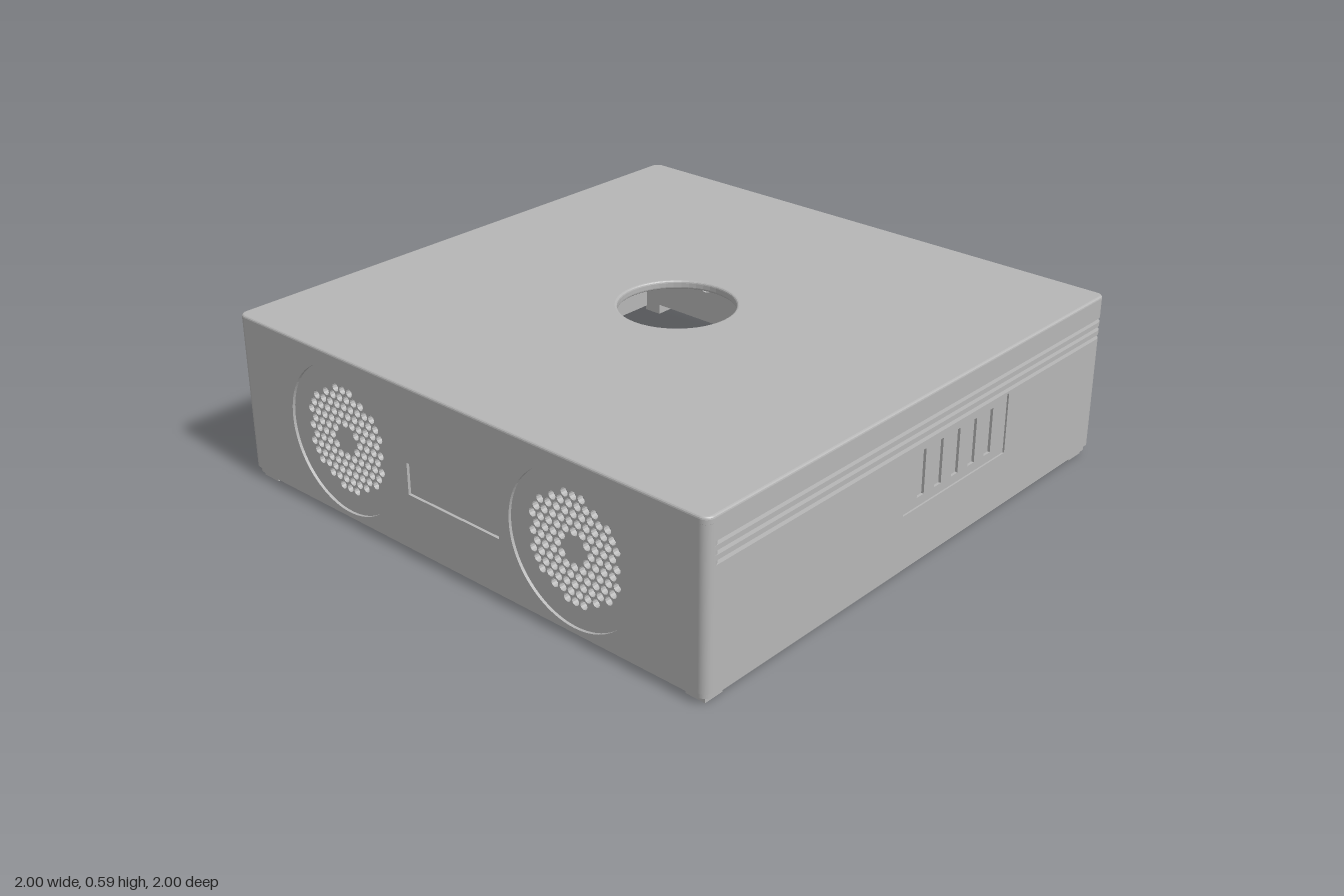
import * as THREE from 'three';

const casing = new THREE.MeshStandardMaterial({ color: 0xb6b6b6 });
casing.name = 'casing grey';

const BASE = 0.04, ROOF = 0.575, EDGE = 0.97; // wall bottom, wall top, start of the corner rounding
const GROOVES = [0.445, 0.475, 0.505], GH = 0.007, GD = 0.015; // groove heights, half width, depth

function add(parent, name, geometry, x = 0, y = 0, z = 0) {
  const m = new THREE.Mesh(geometry, casing);
  m.name = name;
  m.position.set(x, y, z);
  parent.add(m);
  return m;
}

function box(parent, name, x0, x1, y0, y1, z0, z1) {
  return add(parent, name, new THREE.BoxGeometry(x1 - x0, y1 - y0, z1 - z0),
    (x0 + x1) / 2, (y0 + y1) / 2, (z0 + z1) / 2);
}

function rect(T, x0, x1, y0, y1) {
  const s = new T();
  s.moveTo(x0, y0).lineTo(x1, y0).lineTo(x1, y1).lineTo(x0, y1).closePath();
  return s;
}

function circle(x, y, r) {
  const p = new THREE.Path();
  p.absarc(x, y, r, 0, Math.PI * 2, true);
  return p;
}

function roundedSquare(h, r) {
  const s = new THREE.Shape();
  s.absarc(h - r, h - r, r, 0, Math.PI / 2);
  s.absarc(r - h, h - r, r, Math.PI / 2, Math.PI);
  s.absarc(r - h, r - h, r, Math.PI, Math.PI * 1.5);
  s.absarc(h - r, r - h, r, Math.PI * 1.5, Math.PI * 2);
  s.closePath();
  return s;
}

// Flat sheet facing local +z, with cut-outs
function sheet(parent, name, shape, holes, z0, z1, curveSegments = 24) {
  shape.holes.push(...holes);
  const g = new THREE.ExtrudeGeometry(shape, { depth: z1 - z0, bevelEnabled: false, curveSegments });
  return add(parent, name, g, 0, 0, z0);
}

// Group whose local +z points out of the casing
function wall(root, name, angle) {
  const g = new THREE.Group();
  g.name = name;
  g.rotation.y = angle;
  root.add(g);
  return g;
}

// Raised bands left between the horizontal grooves
function bands(parent) {
  GROOVES.forEach((y, i) => {
    const top = i < GROOVES.length - 1 ? GROOVES[i + 1] - GH : ROOF;
    box(parent, 'grooveBand', -EDGE, EDGE, y + GH, top, 1 - GD, 1);
  });
}

// Hexagonally packed round holes in a ring
function grilleHoles(cx, cy) {
  const pitch = 0.033, row = pitch * Math.sqrt(3) / 2, holes = [];
  for (let j = -6; j <= 6; j++) {
    for (let i = -6; i <= 6; i++) {
      const x = (i + (Math.abs(j) % 2) / 2) * pitch, y = j * row, d = Math.hypot(x, y);
      if (d > 0.05 && d < 0.179) holes.push(circle(cx + x, cy + y, 0.0142));
    }
  }
  return holes;
}

export function createModel() {
  const root = new THREE.Group();
  root.name = 'deviceCase';
  const lowTop = GROOVES[0] - GH;

  // Front: shallow speaker and label pockets over the perforated sheet
  const front = wall(root, 'frontWall', 0);
  sheet(front, 'frontSkin', rect(THREE.Shape, -EDGE, EDGE, BASE, ROOF),
    [circle(-0.5, 0.3, 0.255), circle(0.5, 0.3, 0.255), rect(THREE.Path, -0.2, 0.2, 0.22, 0.33)], 0.99, 1, 40);
  sheet(front, 'speakerGrilles', rect(THREE.Shape, -EDGE, EDGE, BASE, ROOF),
    [...grilleHoles(-0.5, 0.3), ...grilleHoles(0.5, 0.3)], 0.97, 0.99, 6);

  // Sides: recessed vent panel with blind slots
  for (const s of [1, -1]) {
    const side = wall(root, s > 0 ? 'leftWall' : 'rightWall', s * Math.PI / 2);
    const u0 = s > 0 ? -0.11 : -0.44, u1 = u0 + 0.55;
    box(side, 'sideInnerWall', -EDGE, EDGE, BASE, ROOF, 0.97, 1 - GD);
    const slots = [];
    for (let i = 0; i < 5; i++) {
      const c = u0 + 0.095 + i * 0.09;
      slots.push(rect(THREE.Path, c - 0.018, c + 0.018, 0.25, 0.405));
    }
    sheet(side, 'ventSlots', rect(THREE.Shape, -EDGE, EDGE, BASE, lowTop), slots, 1 - GD, 0.994);
    sheet(side, 'sideSkin', rect(THREE.Shape, -EDGE, EDGE, BASE, lowTop),
      [rect(THREE.Path, u0, u1, 0.22, 0.43)], 0.994, 1);
    bands(side);
  }

  // Back: deep connector bay with port holes
  const back = wall(root, 'backWall', Math.PI);
  const W = 0.885, y0 = 0.09, y1 = 0.385, bay = 0.865, t = 0.015;
  const opening = () => rect(THREE.Path, -W, W, y0, y1);
  sheet(back, 'backSkin', rect(THREE.Shape, -EDGE, EDGE, BASE, lowTop), [opening()], 1 - GD, 1);
  sheet(back, 'backInnerWall', rect(THREE.Shape, -EDGE, EDGE, BASE, ROOF), [opening()], 0.97, 1 - GD);
  sheet(back, 'baySurround', rect(THREE.Shape, -W - t, W + t, y0 - t, y1 + t), [opening()], bay, 0.97);
  const ports = [[-0.8, 0.07], [-0.51, 0.1], [0.44, 0.038], [0.61, 0.04], [0.78, 0.055]];
  sheet(back, 'portPanel', rect(THREE.Shape, -W - t, W + t, y0 - t, y1 + t),
    ports.map(([x, r]) => circle(x, 0.235, r)), bay - 0.02, bay);
  bands(back);

  // Corners: rounded columns (grooved at the back), inner posts and hollow feet
  const r = 1 - EDGE;
  const plain = [new THREE.Vector2(r, BASE), new THREE.Vector2(r, ROOF)];
  const grooved = [plain[0]];
  for (const y of GROOVES) {
    grooved.push(new THREE.Vector2(r, y - GH), new THREE.Vector2(r - GD, y - GH),
      new THREE.Vector2(r - GD, y + GH), new THREE.Vector2(r, y + GH));
  }
  grooved.push(plain[1]);
  for (const sx of [-1, 1]) {
    for (const sz of [-1, 1]) {
      // Straight runs stay separate so the groove edges are crisp
      const profile = sz > 0 ? plain : grooved;
      for (let i = 0; i + 1 < profile.length; i++) {
        add(root, 'cornerColumn', new THREE.LatheGeometry([profile[i], profile[i + 1]], 24), sx * EDGE, 0, sz * EDGE);
      }
      const post = add(root, 'cornerPost', new THREE.BoxGeometry(0.075, 0.54, 0.075), sx * 0.94, 0.295, sz * 0.94);
      post.position.y = 0.292;
      const foot = sheet(root, 'foot', rect(THREE.Shape, -0.036, 0.036, -0.036, 0.036),
        [rect(THREE.Path, -0.02, 0.02, -0.02, 0.02)], 0, 0.024);
      foot.rotation.x = -Math.PI / 2;
      foot.position.set(sx * 0.942, 0, sz * 0.942);
    }
  }

  // Inset rim round the open underside
  const rim = sheet(root, 'bottomRim', roundedSquare(0.992, 0.025),
    [rect(THREE.Path, -EDGE, EDGE, -EDGE, EDGE)], 0, BASE - 0.02, 6);
  rim.rotation.x = -Math.PI / 2;
  rim.position.y = 0.02;

  // Lid with softened edge and round opening
  const lid = roundedSquare(0.992, 0.022);
  lid.holes.push(circle(0, 0, 0.203));
  const lidGeo = new THREE.ExtrudeGeometry(lid, {
    depth: 0.014, bevelThickness: 0.008, bevelSize: 0.008, bevelSegments: 3, curveSegments: 24,
  });
  const top = add(root, 'lid', lidGeo, 0, 0.568, 0);
  top.rotation.x = -Math.PI / 2;

  return root;
}
